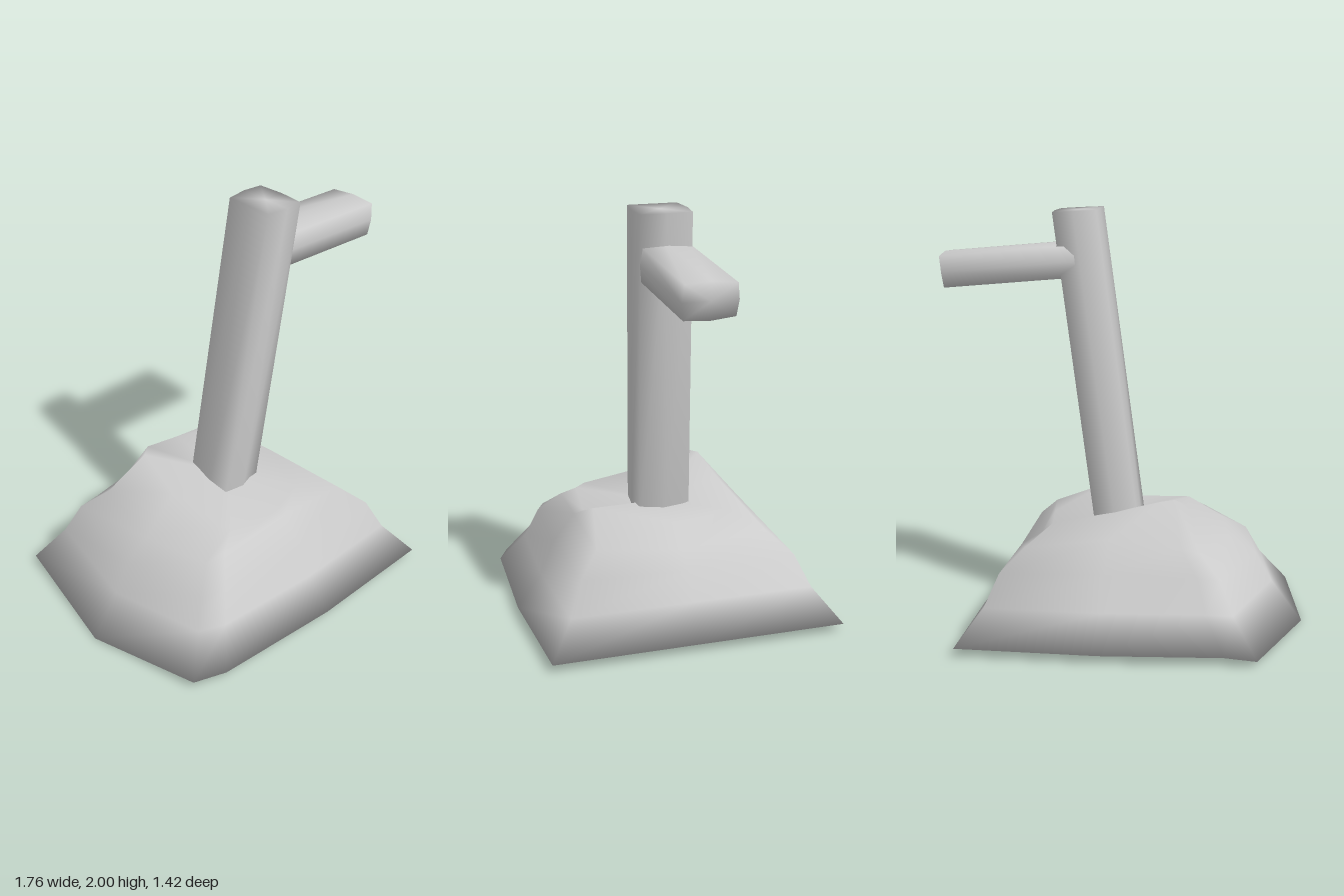
import * as THREE from 'three';

// Closed smooth skin through rings of points, ordered counter-clockwise seen from the last ring's side.
function loft(name, rings, startCentre, endCentre) {
  const n = rings[0].length;
  const points = [...rings.flat(), startCentre, endCentre];
  const start = points.length - 2, end = points.length - 1, last = (rings.length - 1) * n;
  const index = [];
  for (let j = 0; j < n; j++) {
    const k = (j + 1) % n;
    for (let i = 0; i < rings.length - 1; i++) {
      const a = i * n + j, b = i * n + k;
      index.push(a, b, b + n, a, b + n, a + n);
    }
    index.push(k, j, start, last + j, last + k, end);
  }
  const geometry = new THREE.BufferGeometry();
  geometry.setAttribute('position', new THREE.Float32BufferAttribute(points.flat(), 3));
  geometry.setIndex(index);
  geometry.computeVertexNormals();
  const mesh = new THREE.Mesh(geometry, new THREE.MeshStandardMaterial({ color: 0xcccccc }));
  mesh.name = name;
  return mesh;
}

// Earth mound: the ground outline shrinks upward to an uneven crown
function createMound() {
  const outline = [
    [-0.88, 0, 0], [-0.78, 0.03, 0.58], [-0.63, 0.04, 0.65], [0.02, 0.04, 0.71], [0.69, 0.04, 0.71],
    [0.69, 0.04, 0], [0.69, 0.04, -0.715], [0.02, 0.04, -0.715], [-0.55, 0.04, -0.66], [-0.7, 0.03, -0.66],
  ];
  const crown = [
    [-0.32, 0.57, -0.02], [-0.3, 0.53, 0.28], [-0.27, 0.52, 0.33], [0, 0.5, 0.37], [0.15, 0.56, 0.36],
    [0.34, 0.51, 0], [0.3, 0.53, -0.28], [0, 0.6, -0.32], [-0.22, 0.66, -0.3], [-0.28, 0.66, -0.26],
  ];
  const lift = [0, 0, 0.04, 0.07, 0.03, -0.02, 0.03, 0.08, 0.04, 0.02];
  const rings = [[0.83, 0.2, 0], [0.74, 0.34, 0.3], [0.59, 0.42, 1]].map(([scale, y, bump]) =>
    outline.map(([x, , z], j) => [x * scale, y + lift[j] * bump, z * scale]));
  return loft('mound', [outline, ...rings, crown], [0, 0.04, 0], [0.03, 0.52, 0]);
}

// Leaning post with slightly bulged sides
function createPost() {
  const section = [[-0.11, 0], [-0.11, 0.12], [0, 0.135], [0.1, 0.125], [0.11, 0], [0.1, -0.125], [0, -0.135], [-0.11, -0.12]];
  const ring = (cx, y, cz) => section.map(([x, z]) => [cx + x, y - x * 0.06, cz + z]);
  return loft('post', [ring(0.01, 0.42, -0.01), ring(0.23, 1.99, 0.055)], [0.01, 0.42, -0.01], [0.23, 1.99, 0.055]);
}

// Short arm reaching sideways from the post
function createArm() {
  const section = [[-0.13, 0], [-0.12, 0.075], [0, 0.088], [0.12, 0.08], [0.13, 0], [0.12, -0.08], [0, -0.088], [-0.12, -0.075]];
  const ring = (cx, cy) => section.map(([z, y]) => [cx + y * 0.14, cy + y, 0.04 + z]);
  return loft('arm', [ring(0.22, 1.755), ring(0.867, 1.695)], [0.22, 1.755, 0.04], [0.873, 1.695, 0.04]);
}

export function createModel() {
  const model = new THREE.Group();
  model.name = 'postOnMound';
  model.add(createMound(), createPost(), createArm());
  return model;
}
